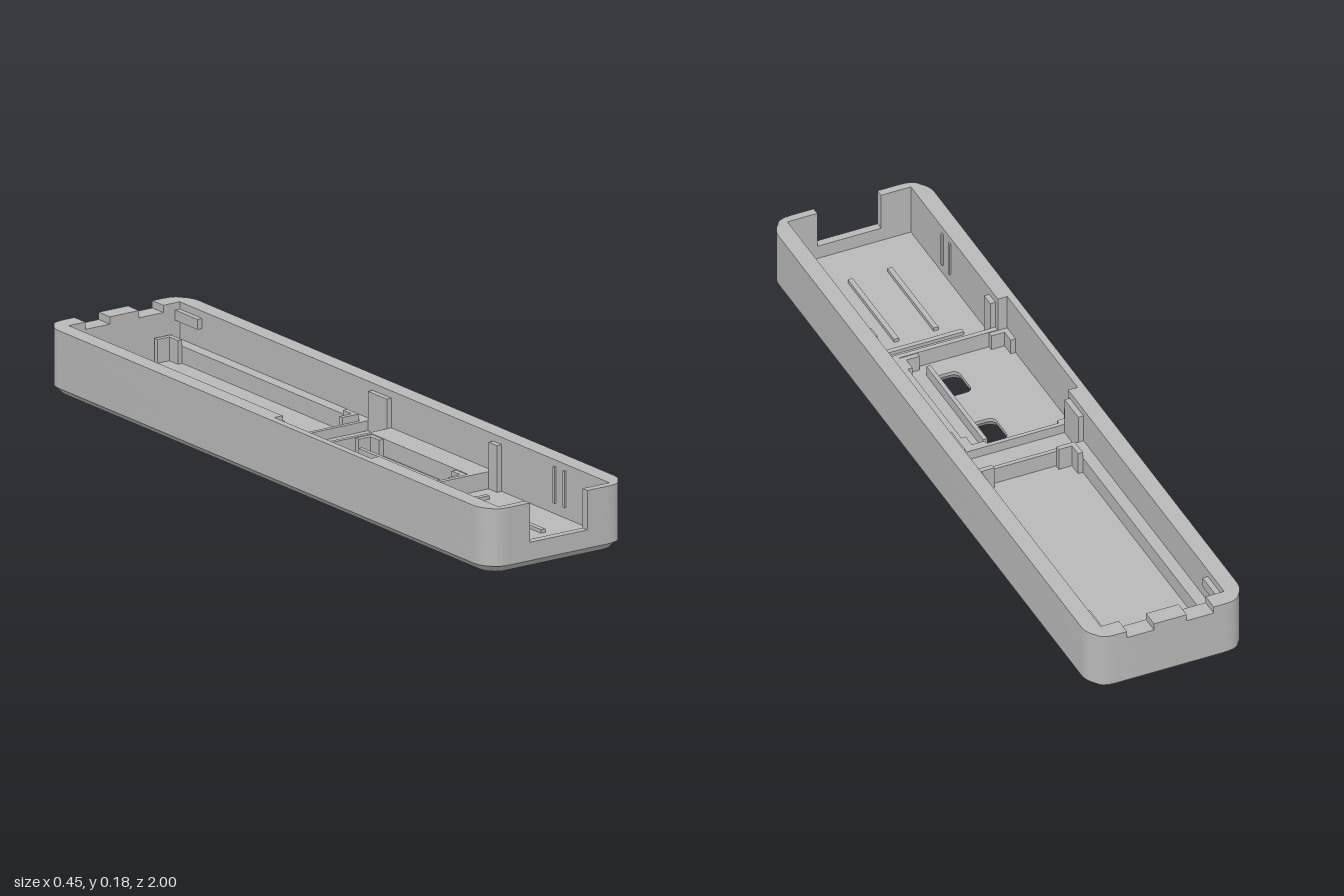
import * as THREE from 'three';
import { toCreasedNormals } from 'three/addons/utils/BufferGeometryUtils.js';

const W = 0.225, L = 1, H = 0.178, R = 0.07;   // outer half width, half length, height, corner radius
const IN = 0.178, BACK = -0.95, FRONT = 0.978; // cavity limits
const FLOOR = 0.03, LEDGE = 0.077;

export function createModel() {
  const model = new THREE.Group();
  const plastic = new THREE.MeshStandardMaterial({ color: 0xb8b8b8 });
  plastic.name = 'grey plastic';

  const add = (name, geometry) => {
    const mesh = new THREE.Mesh(geometry, plastic);
    mesh.name = name;
    model.add(mesh);
    return mesh;
  };
  const box = (name, x0, x1, y0, y1, z0, z1) => {
    const mesh = add(name, new THREE.BoxGeometry(x1 - x0, y1 - y0, z1 - z0));
    mesh.position.set((x0 + x1) / 2, (y0 + y1) / 2, (z0 + z1) / 2);
  };
  // Counter-clockwise rounded rectangle, in plan (second coordinate is -z)
  const roundRect = (cx, cy, hw, hl, r, n = 8) => {
    const pts = [];
    [[1, 1], [-1, 1], [-1, -1], [1, -1]].forEach(([sx, sy], q) => {
      for (let i = 0; i <= n; i++) {
        const a = (q + i / n) * Math.PI / 2;
        pts.push(new THREE.Vector2(cx + sx * (hw - r) + r * Math.cos(a), cy + sy * (hl - r) + r * Math.sin(a)));
      }
    });
    return pts;
  };
  const extrude = (shape, y0, y1) => {
    const g = new THREE.ExtrudeGeometry(shape, { depth: y1 - y0, bevelEnabled: false, curveSegments: 10 });
    g.rotateX(-Math.PI / 2).translate(0, y0, 0);
    return toCreasedNormals(g, 0.5);
  };
  // Sloping band between two matching outlines
  const band = (low, y0, high, y1) => {
    const p = [];
    low.forEach((a, i) => {
      const j = (i + 1) % low.length, b = low[j], c = high[j], d = high[i];
      p.push(a.x, y0, -a.y, b.x, y0, -b.y, c.x, y1, -c.y);
      p.push(a.x, y0, -a.y, c.x, y1, -c.y, d.x, y1, -d.y);
    });
    const g = new THREE.BufferGeometry();
    g.setAttribute('position', new THREE.Float32BufferAttribute(p, 3));
    return toCreasedNormals(g, 0.5);
  };

  // Chamfered underside with two rounded slots
  const slotZ = [0.115, 0.338];
  const slot = (z, grow) => roundRect(0, z, 0.035 + grow, 0.048 + grow, 0.018 + grow, 5);
  const foot = roundRect(0, 0, W - 0.02, L - 0.02, R - 0.02);
  add('bottomChamfer', band(foot, 0, roundRect(0, 0, W, L, R), 0.02));
  const under = new THREE.Shape(foot);
  slotZ.forEach(z => under.holes.push(new THREE.Path(slot(z, 0.014))));
  add('underside', new THREE.ShapeGeometry(under).rotateX(Math.PI / 2));
  slotZ.forEach(z => add('slotChamfer', band(slot(-z, 0.014).reverse(), 0, slot(-z, 0).reverse(), 0.02)));

  // Floor
  const floor = new THREE.Shape(roundRect(0, 0, 0.212, 0.99, 0.05));
  slotZ.forEach(z => floor.holes.push(new THREE.Path(slot(-z, 0))));
  add('floor', extrude(floor, 0.02, FLOOR));

  // Half of the outer wall, open from the centre line to frontX and backX
  const halfWall = (s, frontX, backX) => {
    const sh = new THREE.Shape();
    sh.moveTo(s * frontX, -L);
    sh.lineTo(s * (W - R), -L);
    sh.quadraticCurveTo(s * (W - R * 0.41), -L, s * (W - R * 0.293), -L + R * 0.293);
    sh.quadraticCurveTo(s * W, -L + R * 0.59, s * W, -L + R);
    sh.lineTo(s * W, L - R);
    sh.quadraticCurveTo(s * W, L - R * 0.59, s * (W - R * 0.293), L - R * 0.293);
    sh.quadraticCurveTo(s * (W - R * 0.41), L, s * (W - R), L);
    sh.lineTo(s * backX, L);
    sh.lineTo(s * backX, -BACK);
    sh.lineTo(s * IN, -BACK);
    if (s < 0) { // recess beside the middle bay
      sh.lineTo(-IN, -0.01);
      sh.lineTo(-0.205, -0.01);
      sh.lineTo(-0.205, -0.443);
      sh.lineTo(-IN, -0.443);
    }
    sh.lineTo(s * IN, -FRONT);
    sh.lineTo(s * frontX, -FRONT);
    sh.closePath();
    return sh;
  };
  for (const s of [-1, 1]) {
    add('lowerWall', extrude(halfWall(s, 0, 0), 0.02, 0.07));
    add('middleWall', extrude(halfWall(s, 0.092, 0), 0.07, 0.158));
    add('upperWall', extrude(halfWall(s, 0.092, 0.125), 0.158, H));
  }
  box('rearTab', -0.047, 0.047, 0.158, H, -L, BACK);

  const mirrorBox = (name, x0, x1, ...rest) => {
    box(name, x0, x1, ...rest);
    box(name, -x1, -x0, ...rest);
  };

  // Ledges and dividers between the three bays
  mirrorBox('rearBayLedge', 0.145, IN, FLOOR, LEDGE, BACK, -0.085);
  box('middleBayLedge', 0.106, IN, FLOOR, LEDGE, 0.01, 0.443);
  box('rearDivider', -IN, IN, FLOOR, LEDGE, -0.097, -0.085);
  box('centreDivider', -IN, IN, FLOOR, LEDGE, 0, 0.012);
  box('dividerFloor', -IN, IN, FLOOR, 0.05, -0.086, 0.001);
  box('frontDivider', -IN, IN, FLOOR, LEDGE, 0.443, 0.457);

  // L-shaped corner brackets
  const bracket = (x, z, sx, sz, top) => {
    const arm = (dx, dz) => box('cornerBracket',
      Math.min(x, x + sx * dx), Math.max(x, x + sx * dx), FLOOR, top,
      Math.min(z, z + sz * dz), Math.max(z, z + sz * dz));
    arm(0.052, 0.014);
    arm(0.014, 0.052);
  };
  for (const s of [-1, 1]) {
    bracket(s * 0.145, -0.945, -s, 1, 0.095);
    bracket(s * 0.145, -0.1, -s, -1, 0.095);
  }
  for (const [x, sx] of [[-0.205, 1], [0.106, -1]]) {
    bracket(x, 0.012, sx, 1, 0.075);
    bracket(x, 0.443, sx, -1, 0.075);
  }

  // Posts on the side walls that carry the lid
  for (const [z0, z1] of [[BACK, -0.85], [-0.085, 0], [0.457, 0.495]]) {
    mirrorBox('lidPost', 0.163, IN + 0.002, z0 < -0.5 ? 0.13 : FLOOR, 0.158, z0, z1);
  }

  // Low ribs on the floors and wall ribs in the front bay
  box('middleBayRib', 0.036, 0.048, FLOOR, 0.06, 0.05, 0.4);
  box('crossRib', -0.115, 0.112, FLOOR, 0.04, 0.518, 0.532);
  mirrorBox('floorRib', 0.05, 0.064, FLOOR, 0.04, 0.565, 0.85);
  for (const z of [0.735, 0.78]) mirrorBox('wallRib', 0.173, IN + 0.002, 0.06, 0.16, z - 0.004, z + 0.004);

  return model;
}
